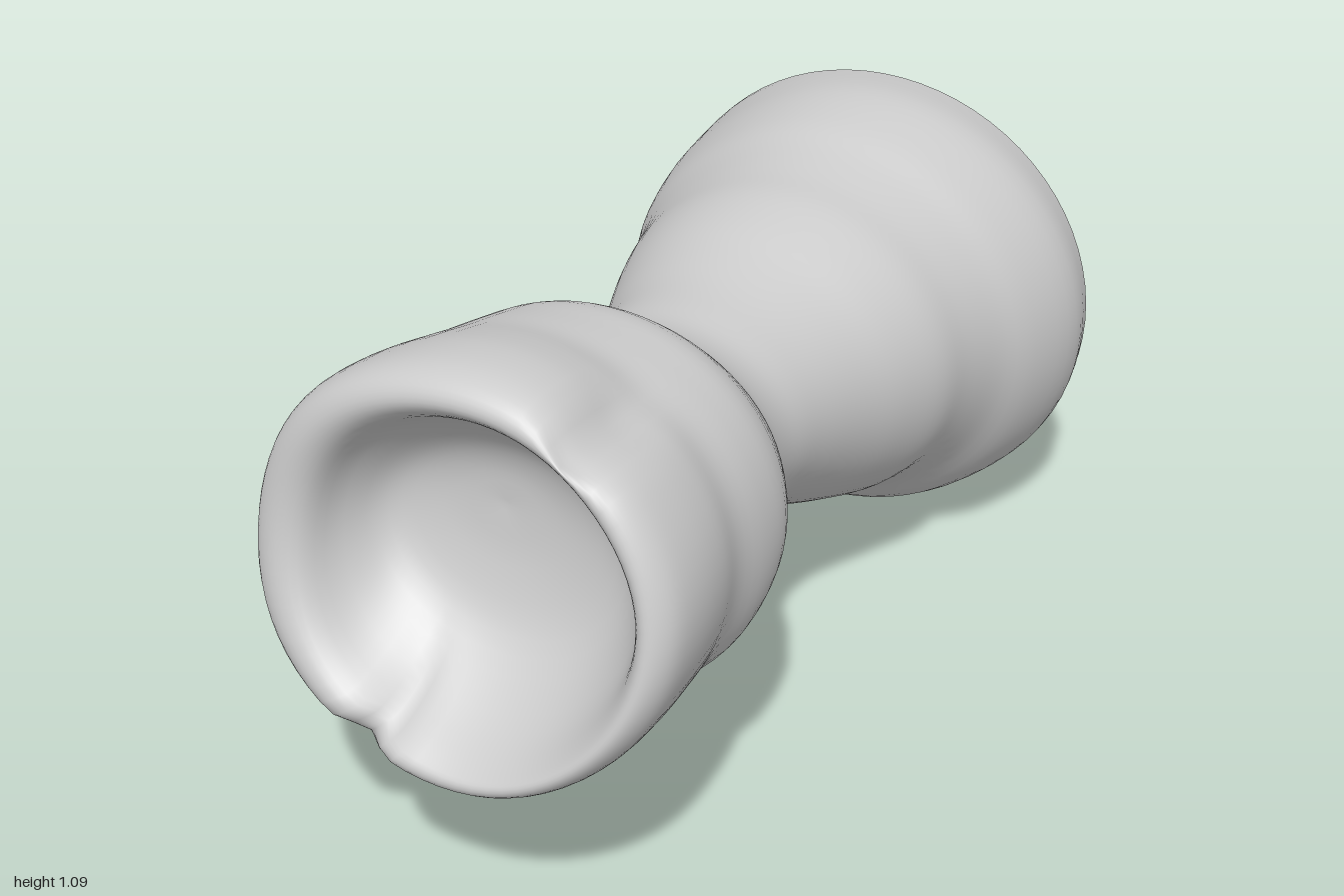
import * as THREE from 'three';

// Cross-sections from the base to the rim and into the cup: z, top, bottom, xMin, xMax
const SECTIONS = [
  [-0.985, 0.965, 0, -0.535, 0.505],
  [-0.85, 0.985, 0.018, -0.52, 0.53],
  [-0.7, 0.965, 0.055, -0.48, 0.495],
  [-0.6, 0.935, 0.135, -0.43, 0.45],
  [-0.5, 0.915, 0.187, -0.39, 0.422],
  [-0.4, 0.905, 0.212, -0.358, 0.408],
  [-0.3, 0.883, 0.248, -0.323, 0.375],
  [-0.2, 0.855, 0.29, -0.283, 0.34],
  [-0.1, 0.835, 0.34, -0.24, 0.315],
  [0, 0.828, 0.38, -0.22, 0.3],
  [0.1, 0.83, 0.395, -0.215, 0.3],
  [0.2, 0.865, 0.39, -0.225, 0.33],
  [0.3, 0.94, 0.362, -0.255, 0.39],
  [0.4, 1.005, 0.32, -0.285, 0.44],
  [0.5, 1.025, 0.295, -0.315, 0.455],
  [0.6, 1.04, 0.308, -0.33, 0.452],
  [0.7, 1.065, 0.325, -0.335, 0.475],
  [0.8, 1.085, 0.325, -0.34, 0.488],
  [0.89, 1.09, 0.33, -0.337, 0.488],
  [0.94, 1.075, 0.345, -0.315, 0.47],
  [0.955, 1.045, 0.37, -0.27, 0.445],
  [0.93, 1.015, 0.395, -0.225, 0.42],
  [0.85, 0.97, 0.45, -0.195, 0.39],
  [0.77, 0.9, 0.54, -0.15, 0.325],
  [0.735, 0.84, 0.65, -0.06, 0.2],
  [0.725, 0.77, 0.75, 0.05, 0.07],
];
const SEGMENTS = 72;
const STEPS = 4;
const smooth = THREE.MathUtils.smoothstep;

// Bell-shaped weight around an angle
function bell(angle, centre, width) {
  const d = Math.atan2(Math.sin(angle - centre), Math.cos(angle - centre)) / width;
  return Math.exp(-d * d);
}

// Point on the skin for ring t (0 base, 1 cup floor) and an angle
const spline = (f) => new THREE.CatmullRomCurve3(SECTIONS.map(f), false, 'catmullrom', 0.5);
const centres = spline(([z, top, bottom, x0, x1]) => new THREE.Vector3((x0 + x1) / 2, (top + bottom) / 2, z));
const radii = spline(([z, top, bottom, x0, x1]) => new THREE.Vector3((x1 - x0) / 2, (top - bottom) / 2, z));

function skinPoint(t, angle) {
  const c = centres.getPoint(t);
  const r = radii.getPoint(t);
  const s = t * (SECTIONS.length - 1);
  const onGroove = smooth(s, 14.5, 17) * (1 - smooth(s, 18.5, 20.5));
  const onRim = smooth(s, 17, 19.5) * (1 - smooth(s, 21, 23));
  // groove down the outside of the cup, flatter shoulder on the base, hand-worked unevenness
  const groove = 0.09 * onGroove * bell(angle, 0.95, 0.14);
  const flat = 0.035 * smooth(s, 0, 1) * (1 - smooth(s, 3, 6)) * bell(angle, 2.25, 0.5);
  const wobble = 0.006 * Math.sin(5 * angle + 9 * c.z) * smooth(c.z, 0.2, 0.6);
  const k = 1 - groove - flat + wobble;
  const x = c.x + r.x * k * Math.cos(angle);
  const y = c.y + r.y * k * Math.sin(angle);
  // slanted rim that sags at the sides, with a crease low down, and a slightly slanted base
  let z = c.z - 0.125 * (y - 0.71) * smooth(c.z, 0.5, 0.9);
  const sag = bell(angle, 0.2, 0.6) + bell(angle, Math.PI - 0.2, 0.6);
  z -= onRim * (0.02 * sag + 0.04 * bell(angle, -2.02, 0.1));
  z += (0.01 * x - 0.03 * (y - 0.48)) * (1 - smooth(s, 0, 1));
  return [x, y, z];
}

function bodyGeometry() {
  const rings = (SECTIONS.length - 1) * STEPS;
  const positions = [];
  const index = [];
  for (let i = 0; i <= rings; i++) {
    for (let j = 0; j < SEGMENTS; j++) {
      positions.push(...skinPoint(i / rings, (j / SEGMENTS) * Math.PI * 2));
      if (i === rings) continue;
      const a = i * SEGMENTS + j;
      const b = i * SEGMENTS + ((j + 1) % SEGMENTS);
      index.push(a, b, a + SEGMENTS, b, b + SEGMENTS, a + SEGMENTS);
    }
  }
  // close the middle of the cup floor
  const last = rings * SEGMENTS;
  for (let j = 1; j < SEGMENTS - 1; j++) index.push(last, last + j, last + j + 1);
  const geometry = new THREE.BufferGeometry();
  geometry.setAttribute('position', new THREE.Float32BufferAttribute(positions, 3));
  geometry.setIndex(index);
  geometry.computeVertexNormals();
  return geometry;
}

// Flat disc fitted to the first ring, facing back
function baseGeometry() {
  const geometry = new THREE.CircleGeometry(1, SEGMENTS).rotateY(Math.PI);
  const p = geometry.attributes.position;
  const [z, top, bottom, x0, x1] = SECTIONS[0];
  for (let i = 0; i < p.count; i++) {
    const x = (x0 + x1) / 2 + (p.getX(i) * (x1 - x0)) / 2;
    const y = (top + bottom) / 2 + (p.getY(i) * (top - bottom)) / 2;
    p.setXYZ(i, x, y, z + 0.01 * x - 0.03 * (y - 0.48));
  }
  geometry.computeVertexNormals();
  return geometry;
}

export function createModel() {
  const group = new THREE.Group();
  group.name = 'waistedCup';
  const material = new THREE.MeshStandardMaterial({ color: 0xcccccc });
  const add = (name, geometry) => {
    const mesh = new THREE.Mesh(geometry, material);
    mesh.name = name;
    group.add(mesh);
  };
  add('body', bodyGeometry());
  add('flatBase', baseGeometry());
  return group;
}
